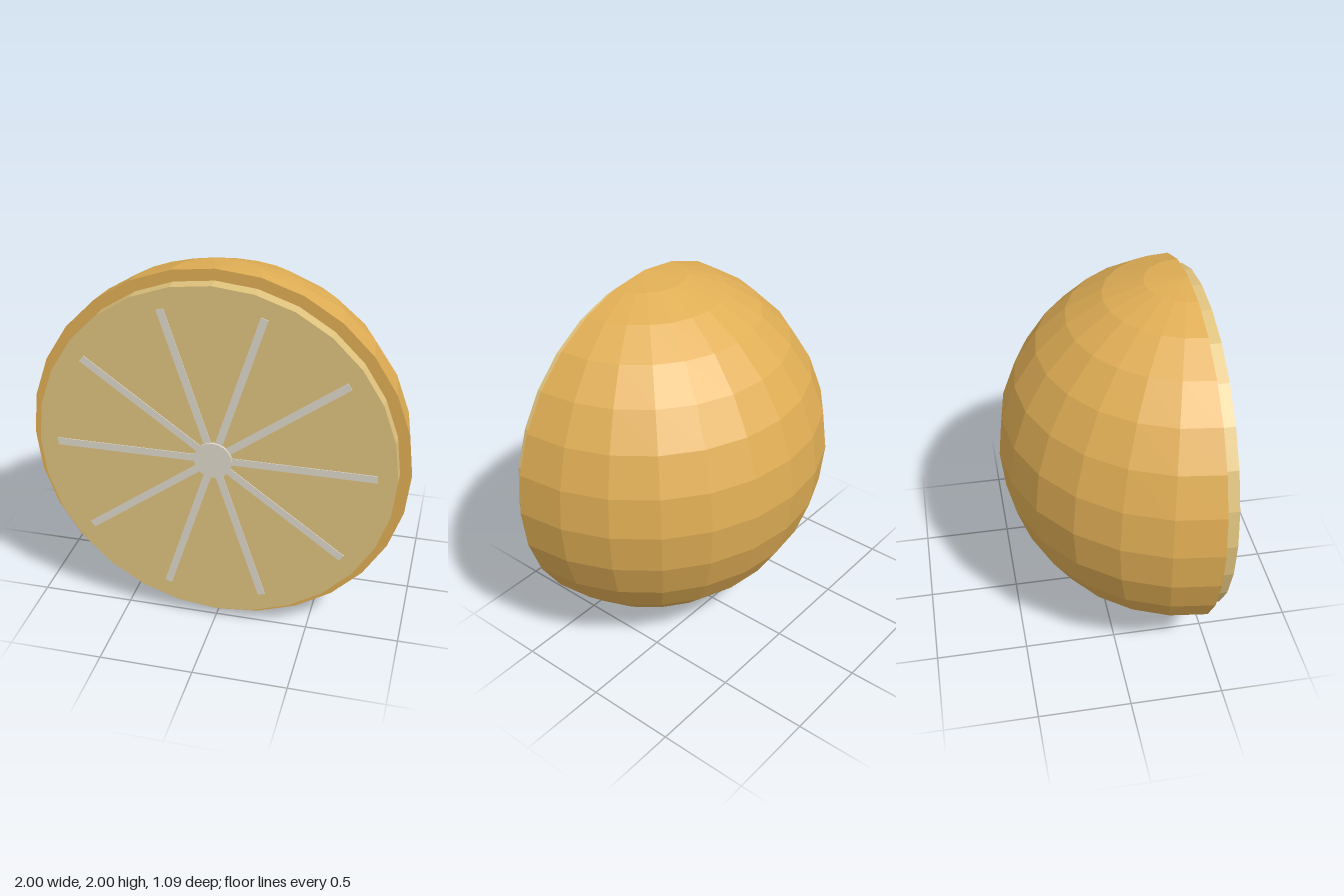
import * as THREE from 'three';

const material = (name, color) => {
  const m = new THREE.MeshStandardMaterial({ color, flatShading: true });
  m.name = name;
  return m;
};

export function createModel() {
  const rind = material('rind gold', 0xe0ae55);
  const flesh = material('flesh tan', 0xdfc27d);
  const pith = material('pith cream', 0xded8ca);

  const CUT = 0.455;   // z of the cut rim
  const FACE = 0.53;   // z of the flesh face

  const group = new THREE.Group();
  group.name = 'halvedFruit';
  const add = (name, geometry, mat, z, parent = group) => {
    const mesh = new THREE.Mesh(geometry, mat);
    mesh.name = name;
    mesh.position.set(0, 1, z);
    parent.add(mesh);
    return mesh;
  };
  // disc with its axis along z, centred between two depths
  const disc = (name, radius, z0, z1, sides, mat) =>
    add(name, new THREE.CylinderGeometry(radius, radius, z1 - z0, sides).rotateX(Math.PI / 2), mat, (z0 + z1) / 2);

  // rear half of a sphere, poles up and down, closed by a flat rim
  add('rindShell', new THREE.SphereGeometry(1, 12, 14, Math.PI, Math.PI), rind, CUT);
  add('rindRim', new THREE.CircleGeometry(1, 28), rind, CUT);

  // raised flesh face and central hub
  disc('fleshDisc', 0.94, CUT - 0.03, FACE, 28, flesh);
  disc('pithHub', 0.1, FACE - 0.02, 0.545, 20, pith);

  // ten thin membranes radiating from the hub
  const spokes = new THREE.Group();
  spokes.name = 'membranes';
  group.add(spokes);
  for (let i = 0; i < 10; i++) {
    const bar = new THREE.BoxGeometry(0.78, 0.04, 0.008).translate(0.45, 0, 0);
    add('membrane', bar, pith, FACE, spokes).rotation.z = (i * Math.PI) / 5;
  }
  return group;
}
